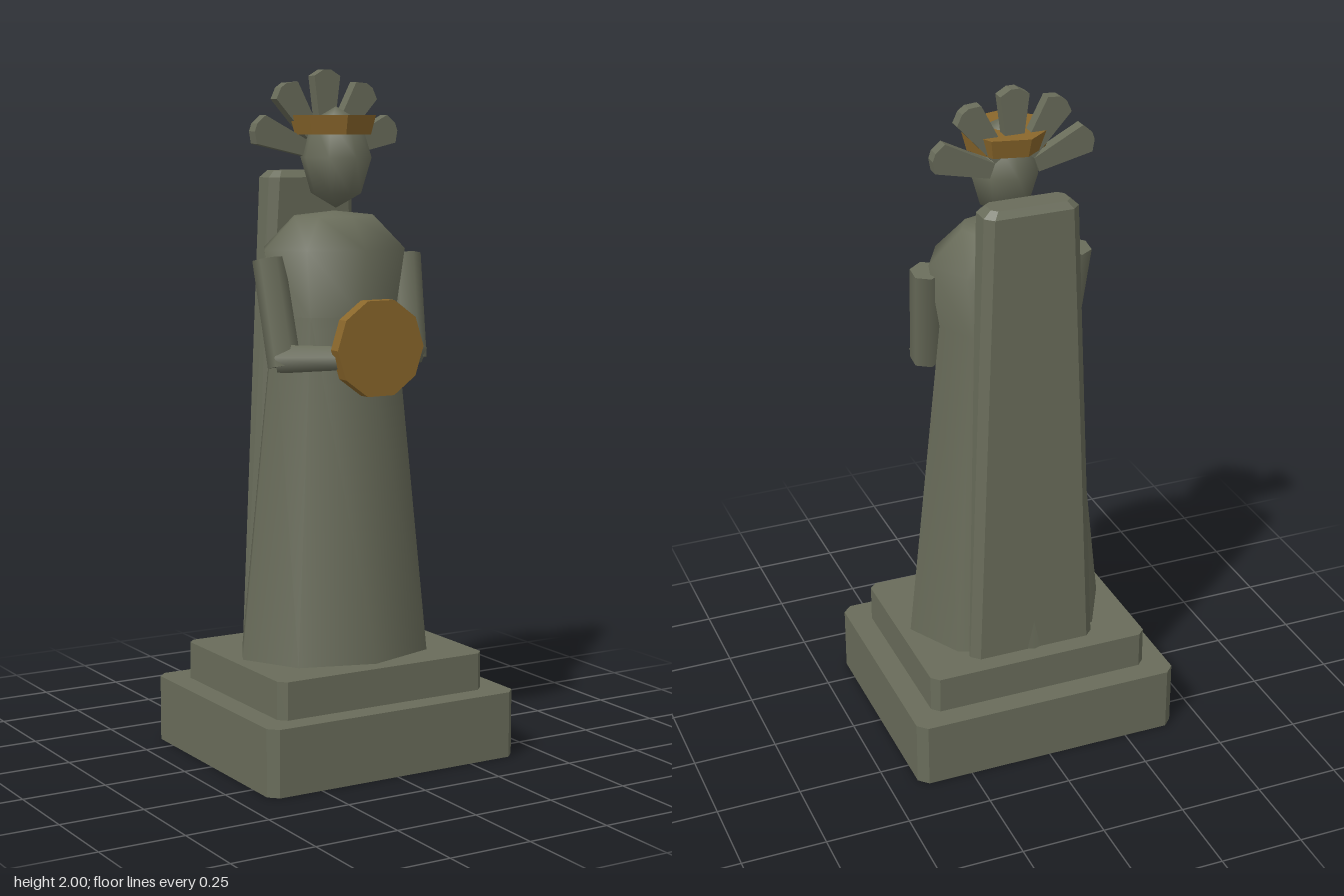
import * as THREE from 'three';

export function createModel() {
  const group = new THREE.Group();
  const stone = new THREE.MeshStandardMaterial({ color: 0x696c5a });
  const gold = new THREE.MeshStandardMaterial({ color: 0x8a672b });
  stone.name = 'weatheredStone';
  gold.name = 'dullGold';

  const add = (name, geometry, material) => {
    const mesh = new THREE.Mesh(geometry, material);
    mesh.name = name;
    group.add(mesh);
    return mesh;
  };

  // Rectangle with cut corners, as [x, z] points
  const cutRect = (w, z0, z1, c) => [
    [w, z0 + c], [w, z1 - c], [w - c, z1], [c - w, z1],
    [-w, z1 - c], [-w, z0 + c], [c - w, z0], [w - c, z0],
  ];

  // Flat-faced solid through cut-corner rings, listed from bottom to top
  const loft = (rings) => {
    const pos = [];
    const loops = rings.map(([y, w, z0, z1, c]) =>
      cutRect(w, z0, z1, c).map(([x, z]) => [x, y, z]));
    const tri = (a, b, c) => pos.push(...a, ...b, ...c);
    for (let r = 0; r < loops.length - 1; r++) {
      for (let i = 0; i < 8; i++) {
        const j = (i + 1) % 8;
        const [a, b, c, d] = [loops[r][i], loops[r][j], loops[r + 1][j], loops[r + 1][i]];
        tri(a, c, b);
        tri(a, d, c);
      }
    }
    const bottom = loops[0], top = loops[loops.length - 1];
    for (let i = 1; i < 7; i++) {
      tri(bottom[0], bottom[i], bottom[i + 1]);
      tri(top[0], top[i + 1], top[i]);
    }
    const geometry = new THREE.BufferGeometry();
    geometry.setAttribute('position', new THREE.Float32BufferAttribute(pos, 3));
    geometry.computeVertexNormals();
    return geometry;
  };

  // Stepped plinth
  add('lowerPlinth', loft([[0, 0.412, -0.357, 0.357, 0.027], [0.195, 0.412, -0.357, 0.357, 0.027]]), stone);
  add('upperPlinth', loft([[0.195, 0.343, -0.288, 0.288, 0.022], [0.305, 0.343, -0.288, 0.288, 0.022]]), stone);

  // Leaning back pillar with a bevelled top
  add('backPillar', loft([
    [0.305, 0.195, -0.232, -0.175, 0.024],
    [1.69, 0.14, -0.217, -0.112, 0.024],
    [1.71, 0.117, -0.202, -0.13, 0.016],
  ]), stone);

  // Robed body, an eight-sided oval
  const profile = [[0, 0.305], [0.308, 0.305], [0.308, 0.305], [0.2, 1.3], [0.23, 1.49], [0.13, 1.583], [0, 1.597]];
  const body = new THREE.LatheGeometry(profile.map(([x, y]) => new THREE.Vector2(x, y)), 8);
  body.scale(1, 1, 0.775);
  add('robedBody', body, stone);

  // Head
  const head = new THREE.SphereGeometry(1, 8, 4);
  head.scale(0.1, 0.145, 0.115);
  head.translate(0, 1.75, 0.01);
  add('head', head, stone);

  // Seven-sided headband
  const band = new THREE.CylinderGeometry(0.128, 0.113, 0.055, 7).toNonIndexed();
  band.rotateY(Math.PI / 2);
  band.translate(0, 1.843, 0);
  band.computeVertexNormals();
  add('headband', band, gold);

  // Fan of five plumes
  const plume = new THREE.Shape([
    [-0.022, 0.07], [0.022, 0.07], [0.043, 0.232], [0.012, 0.25], [-0.012, 0.25], [-0.043, 0.232],
  ].map(([x, y]) => new THREE.Vector2(x, y)));
  const plumeGeometry = new THREE.ExtrudeGeometry(plume, { depth: 0.036, bevelEnabled: false });
  for (let i = -2; i <= 2; i++) {
    const mesh = add('plume', plumeGeometry, stone);
    mesh.position.set(0, 1.75, -0.073);
    mesh.rotation.z = i * 0.61;
  }

  // Six-sided limb between two points
  const limb = (name, from, to, r0, r1) => {
    const a = new THREE.Vector3(...from), b = new THREE.Vector3(...to);
    const dir = b.clone().sub(a);
    const mesh = add(name, new THREE.CylinderGeometry(r1, r0, dir.length(), 6), stone);
    mesh.position.copy(a).add(b).multiplyScalar(0.5);
    mesh.quaternion.setFromUnitVectors(new THREE.Vector3(0, 1, 0), dir.normalize());
  };

  // Bent arms
  for (const [side, s] of [['left', 1], ['right', -1]]) {
    limb(side + 'UpperArm', [s * 0.212, 1.165, 0.082], [s * 0.23, 1.467, 0.022], 0.048, 0.046);
    limb(side + 'Forearm', [s * 0.222, 1.185, 0.075], [s * 0.09, 1.195, 0.232], 0.045, 0.036);
  }

  // Ten-sided disc held in front
  const disc = new THREE.CylinderGeometry(0.142, 0.142, 0.038, 10).toNonIndexed();
  disc.rotateY(Math.PI / 2);
  disc.rotateX(Math.PI / 2);
  disc.translate(0, 1.22, 0.241);
  disc.computeVertexNormals();
  add('heldDisc', disc, gold);

  return group;
}
